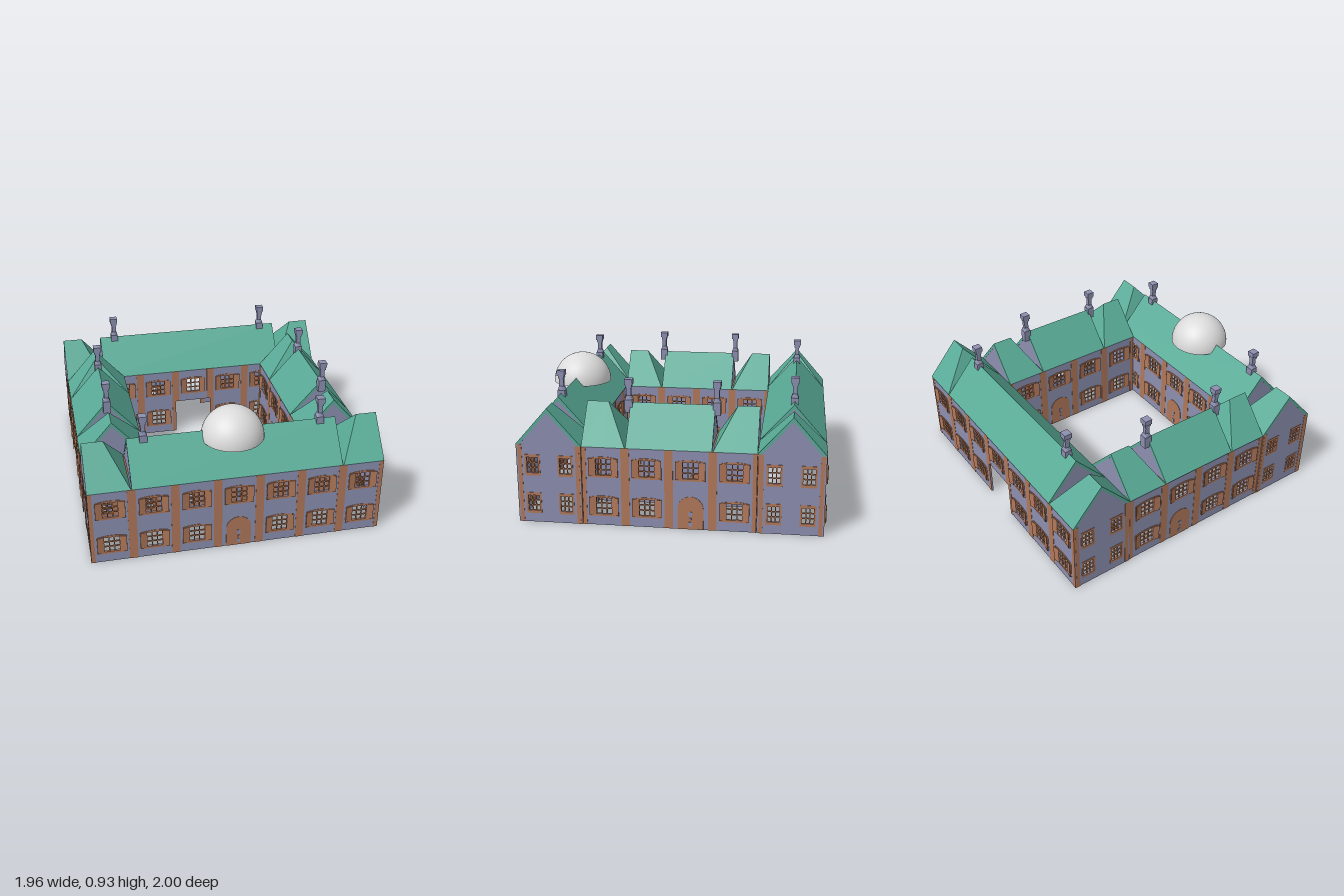
import * as THREE from 'three';
import { mergeGeometries } from 'three/addons/utils/BufferGeometryUtils.js';

const EAVE = 0.53, RIDGE = 0.775, HALF = 0.215, FLOOR = 0.265, WALL = 0.01;

const material = (name, color, side = THREE.FrontSide) => {
  const m = new THREE.MeshStandardMaterial({ color, side });
  m.name = name;
  return m;
};

// Small geometry helpers
const polygon = pts => new THREE.Shape(pts.map(p => new THREE.Vector2(...p)));
const rect = (x, y, w, h) => [[x - w / 2, y - h / 2], [x + w / 2, y - h / 2], [x + w / 2, y + h / 2], [x - w / 2, y + h / 2]];
const slab = (shape, depth) =>
  new THREE.ExtrudeGeometry(shape, { depth, bevelEnabled: false, curveSegments: 12 }).translate(0, 0, -depth / 2);
const box = (w, h, d, x, y, z = 0) => new THREE.BoxGeometry(w, h, d).translate(x, y, z);
const merge = list => mergeGeometries(list.map(g => (g.index ? g.toNonIndexed() : g)));

// Window surround with an opening and a three by three grid of bars
function windowParts(x, y, w, h, outerW, outerH, rise) {
  const s = new THREE.Shape();
  const l = x - outerW / 2, r = x + outerW / 2, b = y - outerH / 2, t = y + outerH / 2;
  s.moveTo(l, b);
  s.lineTo(r, b);
  s.lineTo(r, t - rise);
  s.quadraticCurveTo(x, t + rise, l, t - rise);
  s.holes.push(new THREE.Path(rect(x, y, w, h).map(p => new THREE.Vector2(...p))));
  const parts = [slab(s, 0.016)];
  for (const k of [-1, 1]) {
    parts.push(box(0.007, h, 0.008, x + k * w / 6, y));
    parts.push(box(w, 0.007, 0.008, x, y + k * h / 6));
  }
  return parts;
}

// Wall panel with window openings
function panel(pts, openings) {
  const s = polygon(pts);
  for (const o of openings) s.holes.push(new THREE.Path(rect(...o).map(p => new THREE.Vector2(...p))));
  return slab(s, WALL);
}

export function createModel() {
  const wallMat = material('wall plaster', 0x8c8fb0);
  const trimMat = material('brown trim', 0xb1785a);
  const roofMat = material('green roof', 0x58aa96, THREE.DoubleSide);
  const domeMat = material('dome grey', 0xdcdcdc);

  const add = (parent, name, geo, mat) => {
    const m = new THREE.Mesh(geo, mat);
    m.name = name;
    parent.add(m);
    return m;
  };

  // Geometry of one bay, one storey high, with half a pilaster on each edge
  function bayKit(w) {
    const y = FLOOR / 2;
    const pilasters = [-1, 1].map(k => box(0.0275, FLOOR, 0.014, k * (w / 2 - 0.01375), y));
    const shutters = [-1, 1].map(k =>
      new THREE.BoxGeometry(0.046, 0.12, 0.004).rotateY(-k * 0.2).translate(k * 0.073, y, 0.013));
    const arch = new THREE.Shape();
    arch.moveTo(-0.083, 0);
    arch.lineTo(0.083, 0);
    arch.lineTo(0.083, 0.14);
    arch.absarc(0, 0.14, 0.083, 0, Math.PI, false);
    return {
      window: {
        wall: panel(rect(0, y, w, FLOOR), [[0, y, 0.1, 0.11]]),
        trim: merge([...pilasters, ...shutters, ...windowParts(0, y, 0.1, 0.11, 0.188, 0.14, 0.012)]),
      },
      door: {
        wall: merge([panel(rect(0, y, w, FLOOR), []), box(0.022, 0.03, 0.021, 0, 0.105),
          box(0.012, 0.012, 0.021, 0, 0.072), box(0.022, 0.03, 0.021, 0, 0.035)]),
        trim: merge([...pilasters, slab(arch, 0.016)]),
      },
    };
  }

  // A long facade: two storeys of bays, with one special bay on the ground floor
  function facade(n, w, special, kind) {
    const g = new THREE.Group();
    g.name = 'facade';
    const kit = bayKit(w);
    for (let floor = 0; floor < 2; floor++) for (let i = 0; i < n; i++) {
      const type = floor === 0 && i === special ? kind : 'window';
      if (type === 'gate') continue;
      const bay = new THREE.Group();
      bay.name = type + 'Bay';
      bay.position.set((i - (n - 1) / 2) * w, floor * FLOOR, 0);
      add(bay, 'wallPanel', kit[type].wall, wallMat);
      add(bay, type + 'Trim', kit[type].trim, trimMat);
      g.add(bay);
    }
    return g;
  }

  // Gable end wall with four narrow windows
  const gableHoles = [], gableTrim = [];
  for (const x of [-0.108, 0.108]) for (const y of [0.1325, 0.3925]) {
    gableHoles.push([x, y, 0.075, 0.105]);
    gableTrim.push(...windowParts(x, y, 0.075, 0.105, 0.1, 0.143, 0));
  }
  for (const k of [-1, 1]) gableTrim.push(box(0.025, EAVE, 0.014, k * 0.188, EAVE / 2));
  const gableWall = panel([[-0.2, 0], [0.2, 0], [0.2, EAVE], [0, 0.76], [-0.2, EAVE]], gableHoles);
  const gableTrimGeo = merge(gableTrim);
  const innerGable = panel([[-0.2, EAVE], [0.2, EAVE], [0, 0.76]], []);

  // Pitched roof slab running along x
  const pitched = len => slab(polygon([[-HALF, EAVE], [-0.19, EAVE], [0, 0.747], [0.19, EAVE],
    [HALF, EAVE], [0, RIDGE]]), len).rotateY(Math.PI / 2);

  // Hipped slope that closes the inner end of a corner roof
  const hip = new THREE.BufferGeometry();
  const A = [0.14, RIDGE, 0], nearL = [0, EAVE, -HALF], nearR = [0, EAVE, HALF];
  const farL = [0.14, EAVE, -HALF], farR = [0.14, EAVE, HALF];
  hip.setAttribute('position', new THREE.Float32BufferAttribute(
    [nearL, nearR, A, nearR, farR, A, farL, nearL, A].flat(2), 3));
  hip.computeVertexNormals();

  // Chimney: base, tapered shoulder, shaft and cap
  const shoulder = new THREE.CylinderGeometry(0.02, 0.035, 0.03, 4).rotateY(Math.PI / 4).translate(0, 0.808, 0);
  const chimneyGeo = merge([box(0.05, 0.085, 0.05, 0, 0.7525), shoulder,
    box(0.03, 0.08, 0.03, 0, 0.85), box(0.04, 0.02, 0.04, 0, 0.885), box(0.052, 0.035, 0.052, 0, 0.912)]);

  // A complete wing along x, outer facade towards +z
  function wing(name, n, w, special, kind, chimneyX) {
    const g = new THREE.Group();
    g.name = name;
    const half = n * w / 2, mainHalf = half - w;
    const outer = facade(n, w, special, kind);
    outer.position.z = 0.205;
    const inner = facade(n, w, n - 1 - special, kind);
    inner.position.z = -0.205;
    inner.rotation.y = Math.PI;
    g.add(outer, inner);
    add(g, 'mainRoof', pitched(2 * mainHalf - 0.01), roofMat);
    for (const k of [1, -1]) {
      const end = new THREE.Group();
      end.name = 'wingEnd';
      end.rotation.y = k > 0 ? 0 : Math.PI;
      const place = (part, geo, mat, x) => {
        const m = add(end, part, geo, mat);
        m.position.x = x;
        m.rotation.y = Math.PI / 2;
      };
      place('gableWall', gableWall, wallMat, half - 0.006);
      place('gableTrim', gableTrimGeo, trimMat, half - 0.006);
      place('innerGable', innerGable, wallMat, mainHalf - 0.012);
      add(end, 'hipRoof', hip, roofMat).position.x = mainHalf;
      const cornerLen = half - mainHalf - 0.14;
      add(end, 'cornerRoof', pitched(cornerLen), roofMat).position.x = half - cornerLen / 2;
      add(end, 'chimney', chimneyGeo, wallMat).position.x = chimneyX;
      g.add(end);
    }
    return g;
  }

  const model = new THREE.Group();
  model.name = 'courtyardBuilding';
  const BAY = 1.94 / 7;
  const wings = [
    [wing('frontWing', 7, BAY, 3, 'door', 0.58), 0, 0.775, 0],
    [wing('backWing', 7, BAY, 3, 'gate', 0.58), 0, -0.775, Math.PI],
    [wing('leftWing', 4, 0.28, 2, 'door', 0.285), 0.755, 0, Math.PI / 2],
    [wing('rightWing', 4, 0.28, 1, 'door', 0.285), -0.755, 0, -Math.PI / 2],
  ];
  for (const [g, x, z, turn] of wings) {
    g.position.set(x, 0, z);
    g.rotation.y = turn;
    model.add(g);
  }

  // Dome over the front entrance
  const dome = new THREE.Group();
  dome.name = 'dome';
  dome.position.set(0, 0.715, 0.775);
  add(dome, 'domeShell', new THREE.SphereGeometry(0.205, 48, 20, 0, Math.PI * 2, 0, Math.PI / 2), domeMat);
  add(dome, 'domeBase', new THREE.CircleGeometry(0.205, 48).rotateX(Math.PI / 2), domeMat);
  model.add(dome);
  return model;
}
